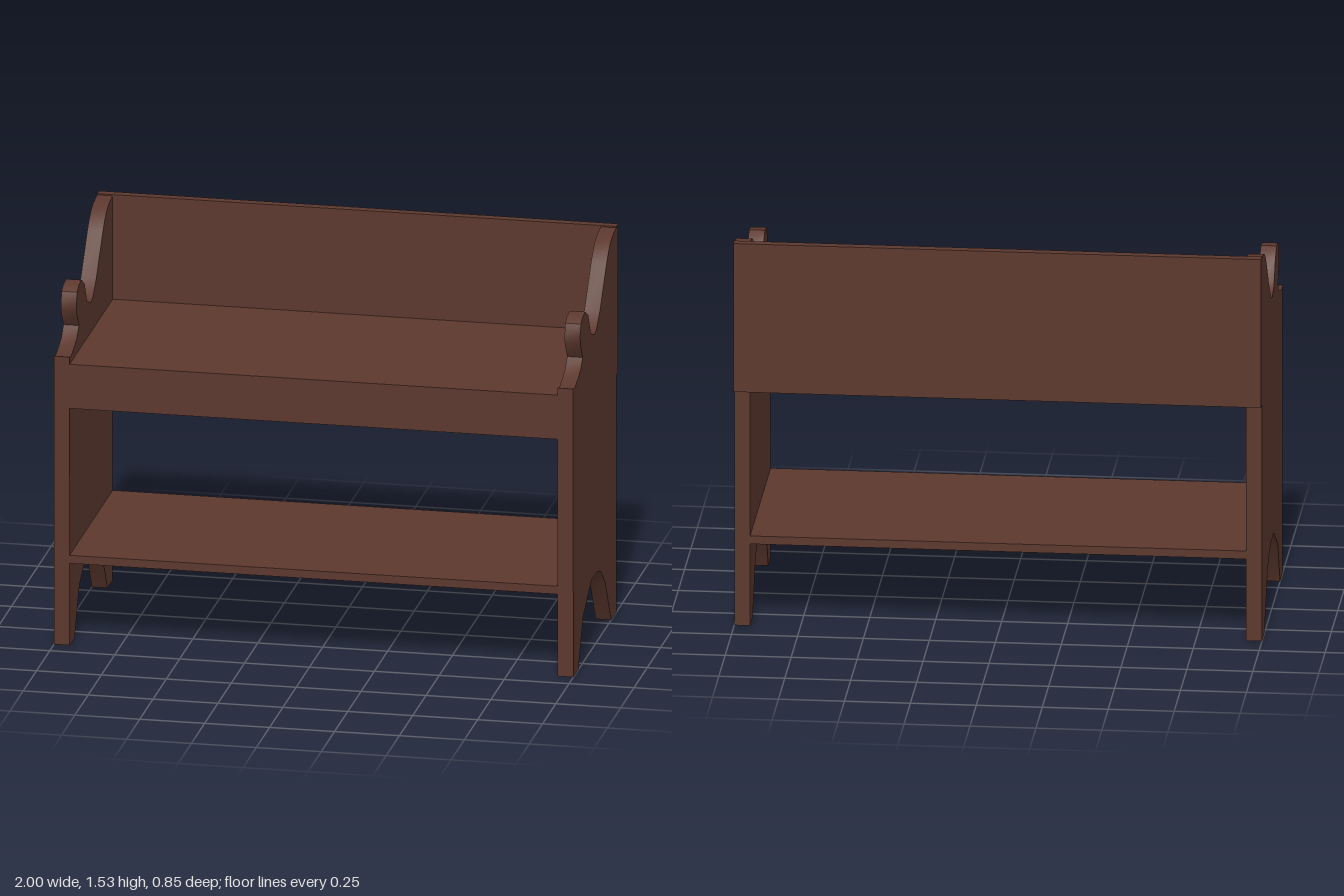
import * as THREE from 'three';
import { toCreasedNormals } from 'three/addons/utils/BufferGeometryUtils.js';

export function createModel() {
  const bench = new THREE.Group();
  bench.name = 'bench';
  const wood = new THREE.MeshStandardMaterial({ color: 0x5c382e });
  wood.name = 'dark brown wood';

  // Box board given by its min and max corners
  function board(name, [x0, y0, z0], [x1, y1, z1]) {
    const mesh = new THREE.Mesh(new THREE.BoxGeometry(x1 - x0, y1 - y0, z1 - z0), wood);
    mesh.position.set((x0 + x1) / 2, (y0 + y1) / 2, (z0 + z1) / 2);
    mesh.name = name;
    bench.add(mesh);
  }

  // Scrolled end panel outline as [z, y]: arched feet, back edge, scroll top, front edge
  const outline = [
    [0.42, 0], [0.325, 0], [0.235, 0.18], [0.077, 0.276], [-0.045, 0.273],
    [-0.11, 0.248], [-0.183, 0.18], [-0.292, 0], [-0.39, 0],
    [-0.39, 1.525], [-0.345, 1.52], [-0.315, 1.515], [-0.276, 1.5], [-0.24, 1.475],
    [-0.207, 1.443], [-0.081, 1.293], [-0.012, 1.238], [0.02, 1.234], [0.049, 1.241],
    [0.093, 1.264], [0.138, 1.346], [0.195, 1.378], [0.247, 1.373], [0.276, 1.355],
    [0.292, 1.315], [0.288, 1.278], [0.243, 1.212], [0.284, 1.173], [0.34, 1.153],
    [0.39, 1.138], [0.425, 1.145],
  ];
  const thickness = 0.06;
  const shape = new THREE.Shape(outline.map(([z, y]) => new THREE.Vector2(z, y)));
  let panel = new THREE.ExtrudeGeometry(shape, { depth: thickness, bevelEnabled: false });
  panel.rotateY(-Math.PI / 2);
  panel.translate(thickness / 2, 0, 0);
  panel = toCreasedNormals(panel, 0.6);
  for (const side of [-1, 1]) {
    const mesh = new THREE.Mesh(panel, wood);
    mesh.position.x = side * (1 - thickness / 2);
    mesh.name = side > 0 ? 'leftEndPanel' : 'rightEndPanel';
    bench.add(mesh);
  }

  // Boards between and behind the end panels
  board('backrest', [-1, 0.94, -0.425], [1, 1.53, -0.39]);
  board('seat', [-0.94, 1.08, -0.39], [0.94, 1.115, 0.42]);
  board('apron', [-0.94, 0.94, 0.385], [0.94, 1.08, 0.42]);
  board('lowerShelf', [-0.94, 0.325, -0.39], [0.94, 0.357, 0.42]);
  return bench;
}
